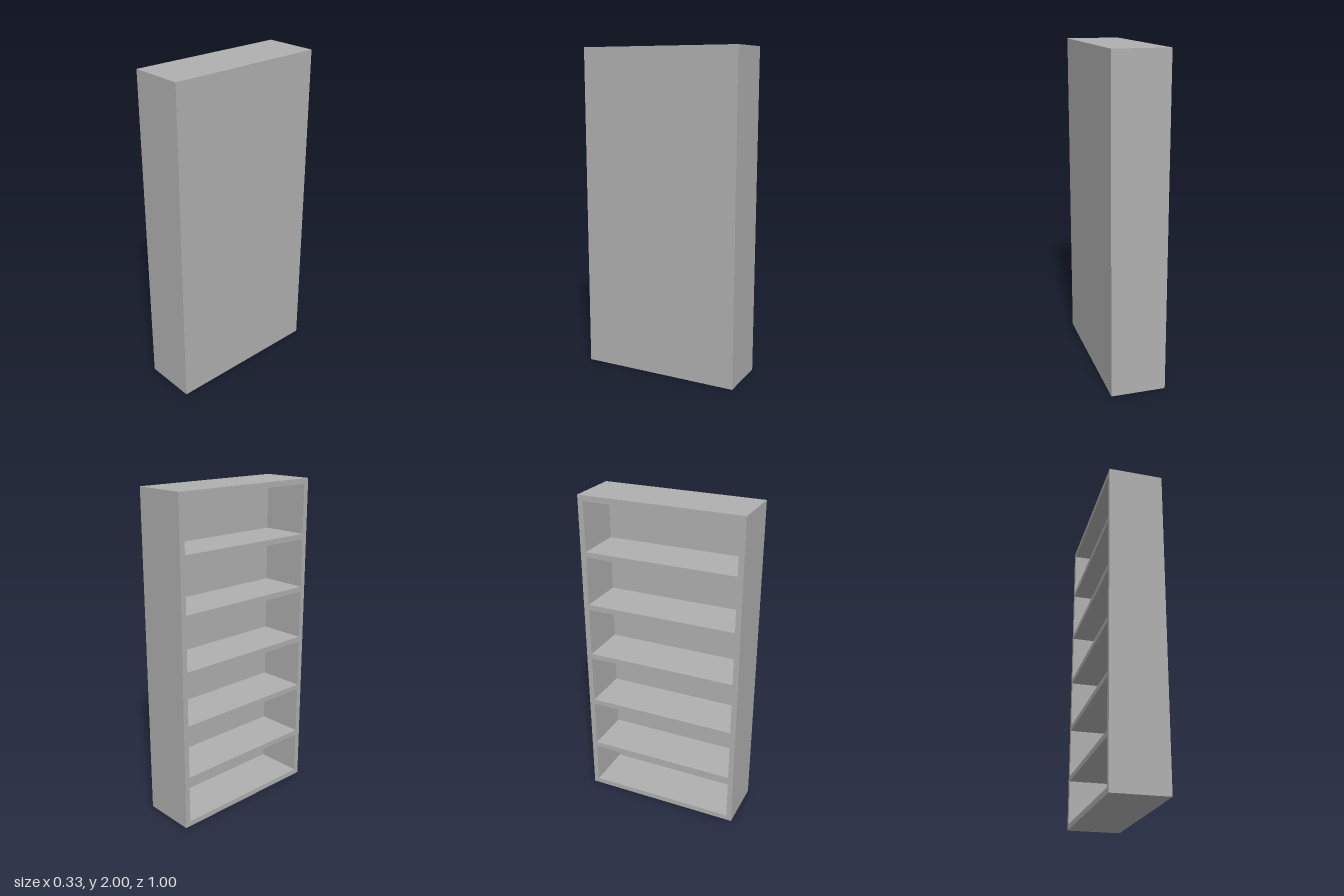
import * as THREE from 'three';

const H = 2, W = 1, D = 1 / 3; // height (y), width (z), depth (x)
const T = 1 / 30;              // board thickness
const SHELVES = 5;

export function createModel() {
  const model = new THREE.Group();
  model.name = 'bookcase';

  const grey = new THREE.MeshStandardMaterial({ color: 0xb0b0b0 });
  grey.name = 'grey';

  const board = (name, sx, sy, sz, x, y, z) => {
    const mesh = new THREE.Mesh(new THREE.BoxGeometry(sx, sy, sz), grey);
    mesh.name = name;
    mesh.position.set(x, y, z);
    model.add(mesh);
  };

  // Closed panel on the +x side; the compartments open towards -x
  board('backPanel', T, H, W, D / 2 - T / 2, H / 2, 0);

  // Full-height end panels
  const depth = D - T, x = -T / 2;
  board('frontEndPanel', depth, H, T, x, H / 2, W / 2 - T / 2);
  board('rearEndPanel', depth, H, T, x, H / 2, -W / 2 + T / 2);

  // Base, top and evenly spaced shelves between the ends
  const inner = W - 2 * T;
  board('basePanel', depth, T, inner, x, T / 2, 0);
  board('topPanel', depth, T, inner, x, H - T / 2, 0);
  for (let i = 1; i <= SHELVES; i++) {
    board(`shelf${i}`, depth, T, inner, x, (i * H) / (SHELVES + 1) - T / 2, 0);
  }
  return model;
}
